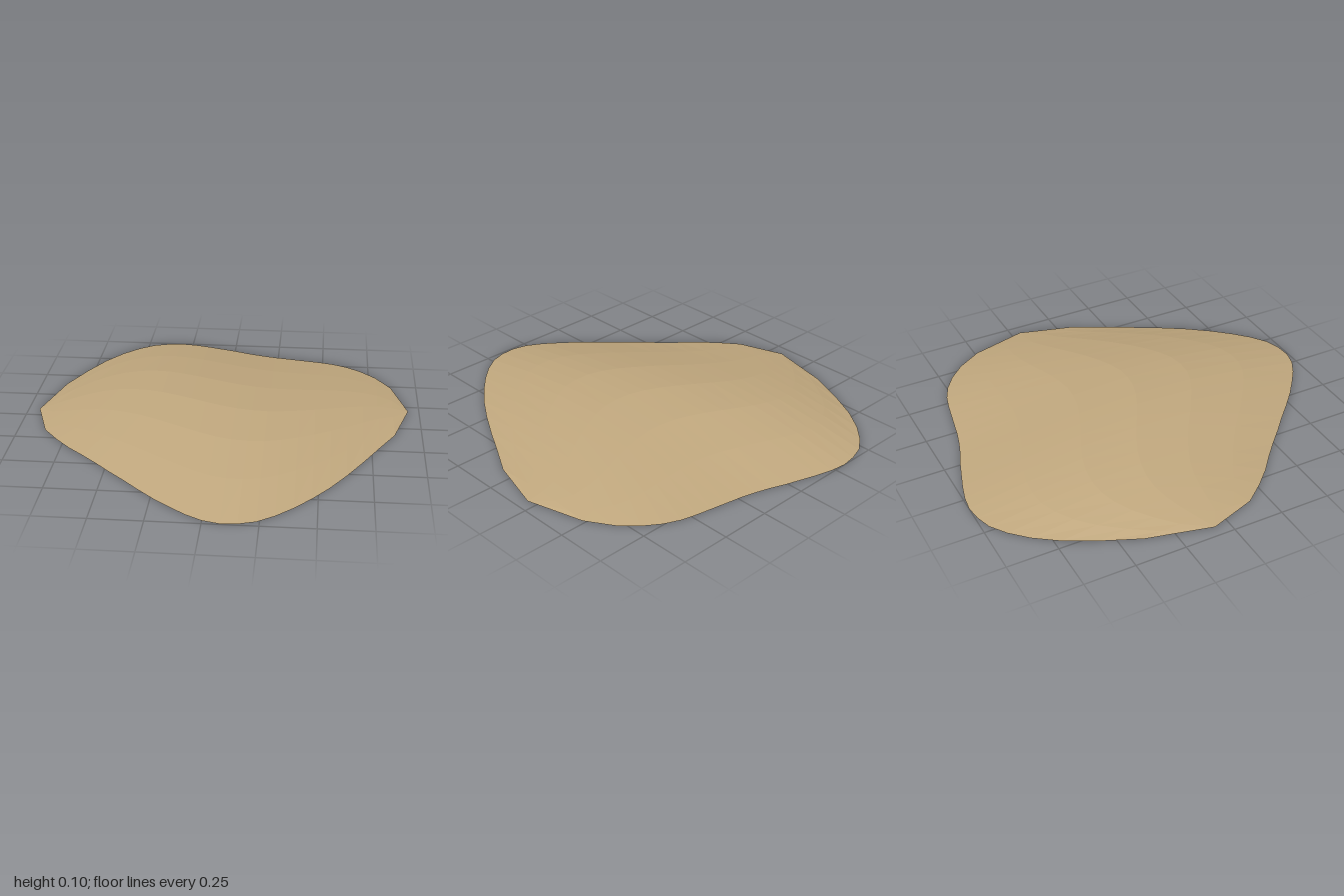
import * as THREE from 'three';

// Outline of the mound: back and front edge (z) at evenly spaced x stations
const HALF_WIDTH = 0.945;
const HEIGHT = 0.105;
const ROWS = 6;
const backEdge = [-0.07, -0.39, -0.57, -0.72, -0.83, -0.91, -0.965, -0.99, -1, -0.99, -0.97, -0.945, -0.92,
  -0.89, -0.865, -0.845, -0.83, -0.815, -0.8, -0.78, -0.745, -0.69, -0.61, -0.485, -0.2];
const frontEdge = [-0.07, 0.165, 0.265, 0.35, 0.42, 0.495, 0.575, 0.65, 0.73, 0.805, 0.87, 0.93, 0.975,
  0.995, 0.99, 0.965, 0.91, 0.835, 0.745, 0.64, 0.515, 0.375, 0.225, 0.08, -0.2];

// Thin domed sheet: arched cross-sections lofted from one tip to the other
function moundGeometry() {
  const columns = backEdge.length - 1;
  const positions = [];
  const index = [];
  for (let i = 0; i <= columns; i++) {
    const u = i / columns;
    for (let j = 0; j <= ROWS; j++) {
      const t = j / ROWS;
      positions.push(
        (u * 2 - 1) * HALF_WIDTH,
        HEIGHT * Math.sin(Math.PI * u) * Math.sin(Math.PI * t),
        THREE.MathUtils.lerp(backEdge[i], frontEdge[i], t)
      );
    }
  }
  for (let i = 0; i < columns; i++) {
    for (let j = 0; j < ROWS; j++) {
      const a = i * (ROWS + 1) + j;
      const d = a + ROWS + 1;
      // each tip is a single point, so only one triangle is needed there
      if (i > 0) index.push(a, a + 1, d);
      if (i === 0) index.push(a, d + 1, d);
      else if (i < columns - 1) index.push(a + 1, d + 1, d);
    }
  }
  const geometry = new THREE.BufferGeometry();
  geometry.setAttribute('position', new THREE.Float32BufferAttribute(positions, 3));
  geometry.setIndex(index);
  geometry.computeVertexNormals();
  return geometry;
}

export function createModel() {
  const group = new THREE.Group();
  group.name = 'sandMound';
  const material = new THREE.MeshStandardMaterial({
    color: 0xc2a97f, flatShading: true, side: THREE.DoubleSide
  });
  const mound = new THREE.Mesh(moundGeometry(), material);
  mound.name = 'moundSurface';
  group.add(mound);
  return group;
}
